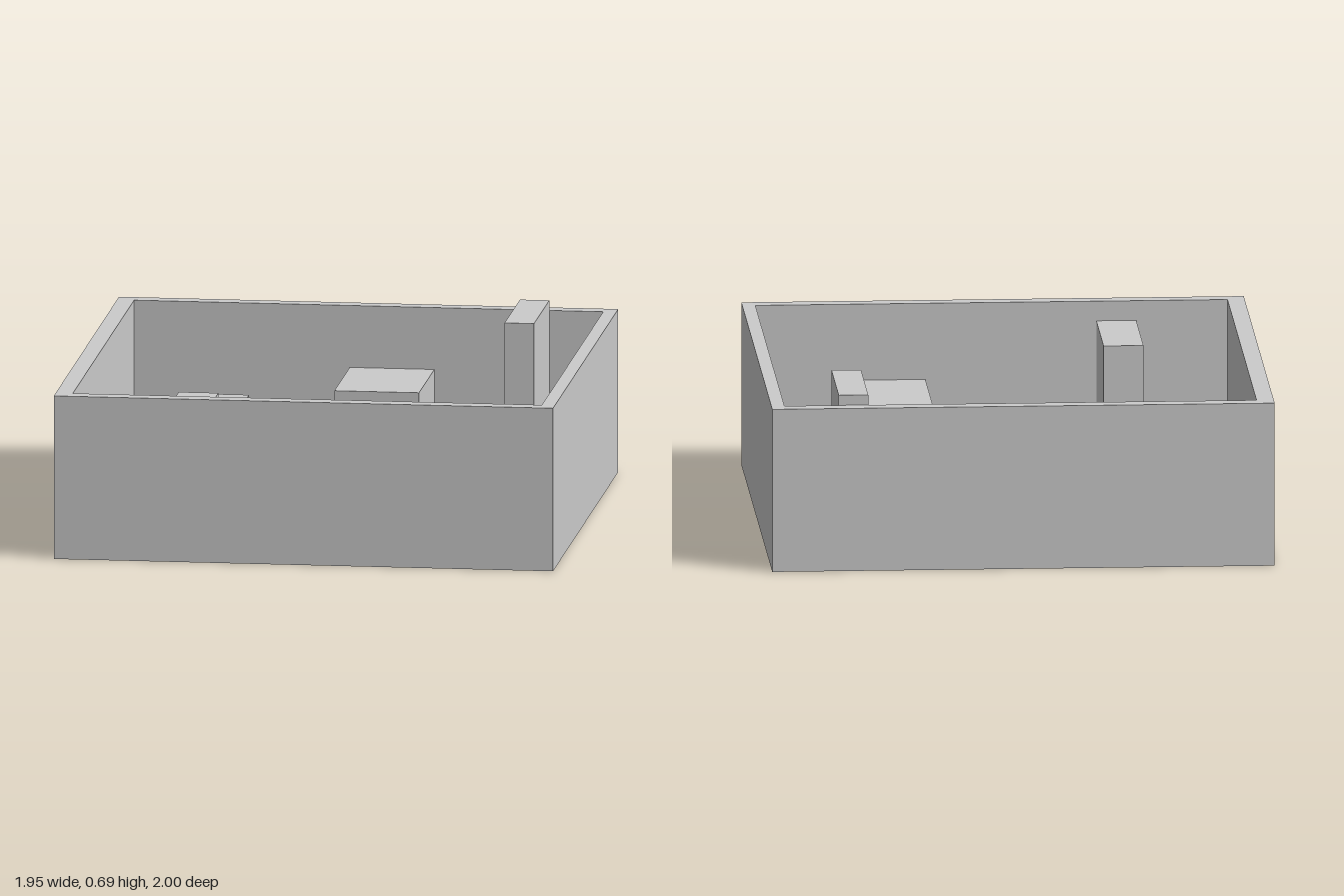
import * as THREE from 'three';

const material = new THREE.MeshStandardMaterial({ color: 0xcccccc, flatShading: true });
const FLOOR = 0.04, WALL_TOP = 0.645;
const OUTER = { x0: -0.977, x1: 0.977, z0: -1, z1: 1 };
const INNER = { x0: -0.91, x1: 0.926, z0: -0.94, z1: 0.94 };

// Box spanning the given ranges
function block(name, x0, x1, z0, z1, y0, y1) {
  const mesh = new THREE.Mesh(new THREE.BoxGeometry(x1 - x0, y1 - y0, z1 - z0), material);
  mesh.position.set((x0 + x1) / 2, (y0 + y1) / 2, (z0 + z1) / 2);
  mesh.name = name;
  return mesh;
}

// Rectangle path in plan; shape y is -z so that extrusion goes up
function rectangle(path, { x0, x1, z0, z1 }) {
  path.moveTo(x0, -z1).lineTo(x1, -z1).lineTo(x1, -z0).lineTo(x0, -z0).closePath();
  return path;
}

export function createModel() {
  const group = new THREE.Group();
  group.name = 'openTray';

  // Base slab
  group.add(block('base', OUTER.x0, OUTER.x1, OUTER.z0, OUTER.z1, 0, FLOOR));

  // Rim of four walls, standing on the slab
  const rim = rectangle(new THREE.Shape(), OUTER);
  rim.holes.push(rectangle(new THREE.Path(), INNER));
  const wallGeometry = new THREE.ExtrudeGeometry(rim, { depth: WALL_TOP - FLOOR, bevelEnabled: false });
  wallGeometry.rotateX(-Math.PI / 2).translate(0, FLOOR, 0);
  const walls = new THREE.Mesh(wallGeometry, material);
  walls.name = 'walls';
  group.add(walls);

  // Inner blocks on a plan grid: name, x range, z range, top height
  const blocks = [
    ['backLowBlock', -0.555, -0.4, -0.94, -0.47, 0.167],
    ['middleRightBlock', -0.555, -0.4, -0.47, 0, 0.375],
    ['frontTallBlock', -0.555, -0.4, 0.47, 0.94, 0.567],
    ['centreBlock', -0.4, -0.066, 0, 0.47, 0.229],
    ['backWideBlock', -0.066, 0.265, -0.94, -0.47, 0.4],
    ['frontWideBlock', 0.265, 0.6, 0.47, 0.94, 0.343],
    ['backTallBlock', 0.6, 0.715, -0.94, -0.47, 0.685],
    ['middleLeftBlock', 0.6, 0.715, -0.47, 0, 0.232],
  ];
  for (const [name, x0, x1, z0, z1, top] of blocks) group.add(block(name, x0, x1, z0, z1, FLOOR, top));

  return group;
}
